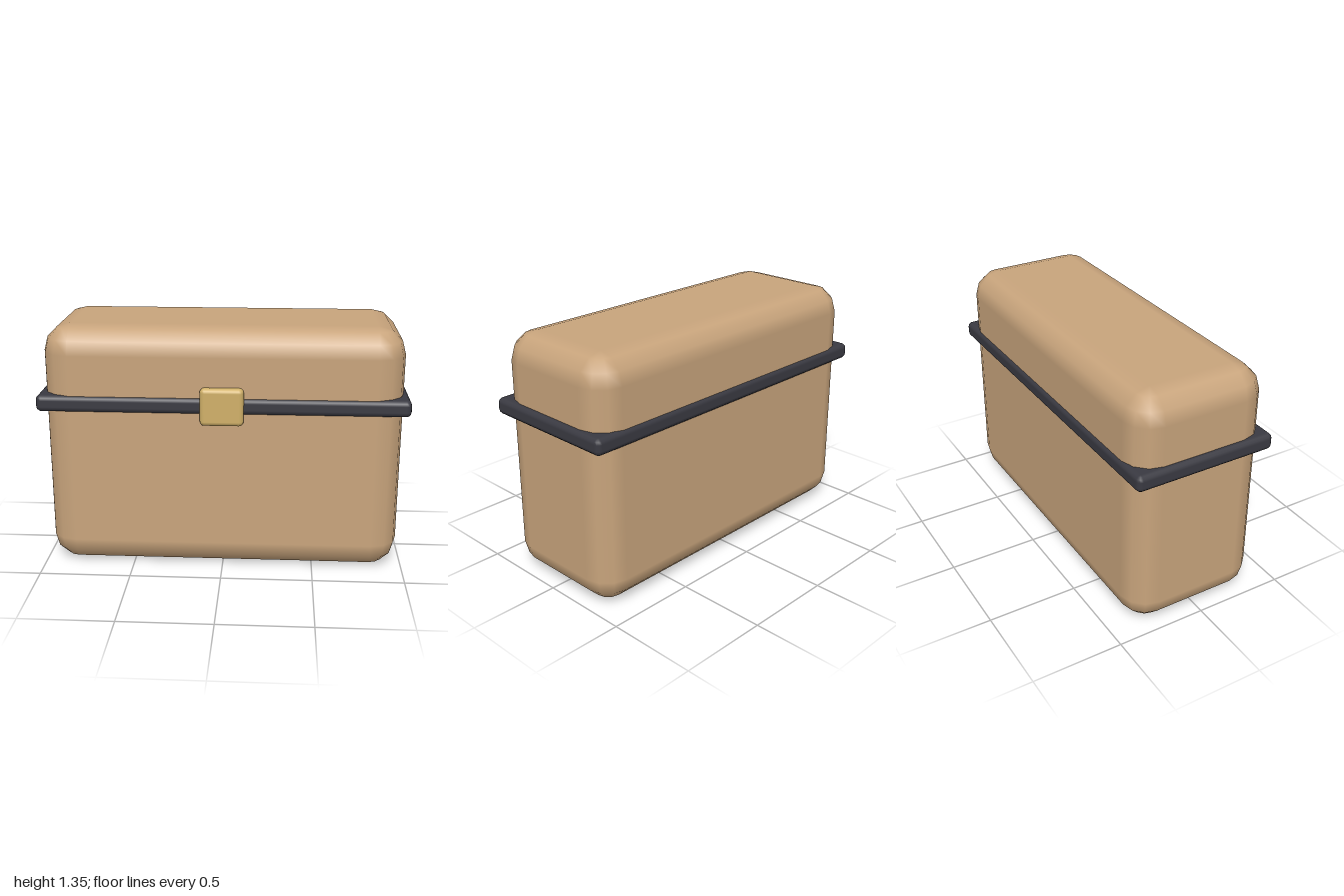
import * as THREE from 'three';

// Box with bevelled edges: a sphere grid whose octants are pushed out to the corners.
// Each corner arc has three steps; the two pole rows collapse into the flat caps.
function bevelBox(w, h, d, r) {
  const geo = new THREE.SphereGeometry(1, 16, 9);
  const pos = geo.attributes.position;
  const nor = geo.attributes.normal;
  const step = Math.PI / 6;
  const signX = [-1, 1, 1, -1];
  const signZ = [1, 1, -1, -1];
  for (let row = 0; row < 10; row++) {
    for (let col = 0; col < 17; col++) {
      const i = row * 17 + col;
      const top = row < 5;
      if (row === 0 || row === 9) {
        pos.setXYZ(i, 0, (top ? 1 : -1) * h / 2, 0);
        nor.setXYZ(i, 0, top ? 1 : -1, 0);
        continue;
      }
      const corner = Math.floor(col / 4) % 4;
      const phi = corner * Math.PI / 2 + (col % 4) * step;
      const theta = (top ? row - 1 : row - 2) * step;
      const n = new THREE.Vector3(
        -Math.cos(phi) * Math.sin(theta), Math.cos(theta), Math.sin(phi) * Math.sin(theta));
      pos.setXYZ(i,
        signX[corner] * (w / 2 - r) + n.x * r,
        (top ? 1 : -1) * (h / 2 - r) + n.y * r,
        signZ[corner] * (d / 2 - r) + n.z * r);
      nor.setXYZ(i, n.x, n.y, n.z);
    }
  }
  return geo;
}

function material(name, color) {
  const m = new THREE.MeshStandardMaterial({ color });
  m.name = name;
  return m;
}

export function createModel() {
  const group = new THREE.Group();
  group.name = 'lunchBox';
  const tan = material('tan', 0xc8a47c);
  const charcoal = material('charcoal', 0x3a3a42);
  const brass = material('brass', 0xd0b068);

  const add = (name, mat, size, bevel, y, z) => {
    const mesh = new THREE.Mesh(bevelBox(...size, bevel), mat);
    mesh.name = name;
    mesh.position.set(0, y, z);
    group.add(mesh);
  };

  // Case body, the band around the lid seam, and the front clasp
  add('body', tan, [1.94, 1.354, 0.767], 0.15, 0.677, -0.014);
  add('seamBand', charcoal, [2, 0.09, 0.796], 0.028, 0.943, -0.014);
  add('clasp', brass, [0.234, 0.206, 0.06], 0.025, 0.944, 0.382);
  return group;
}
